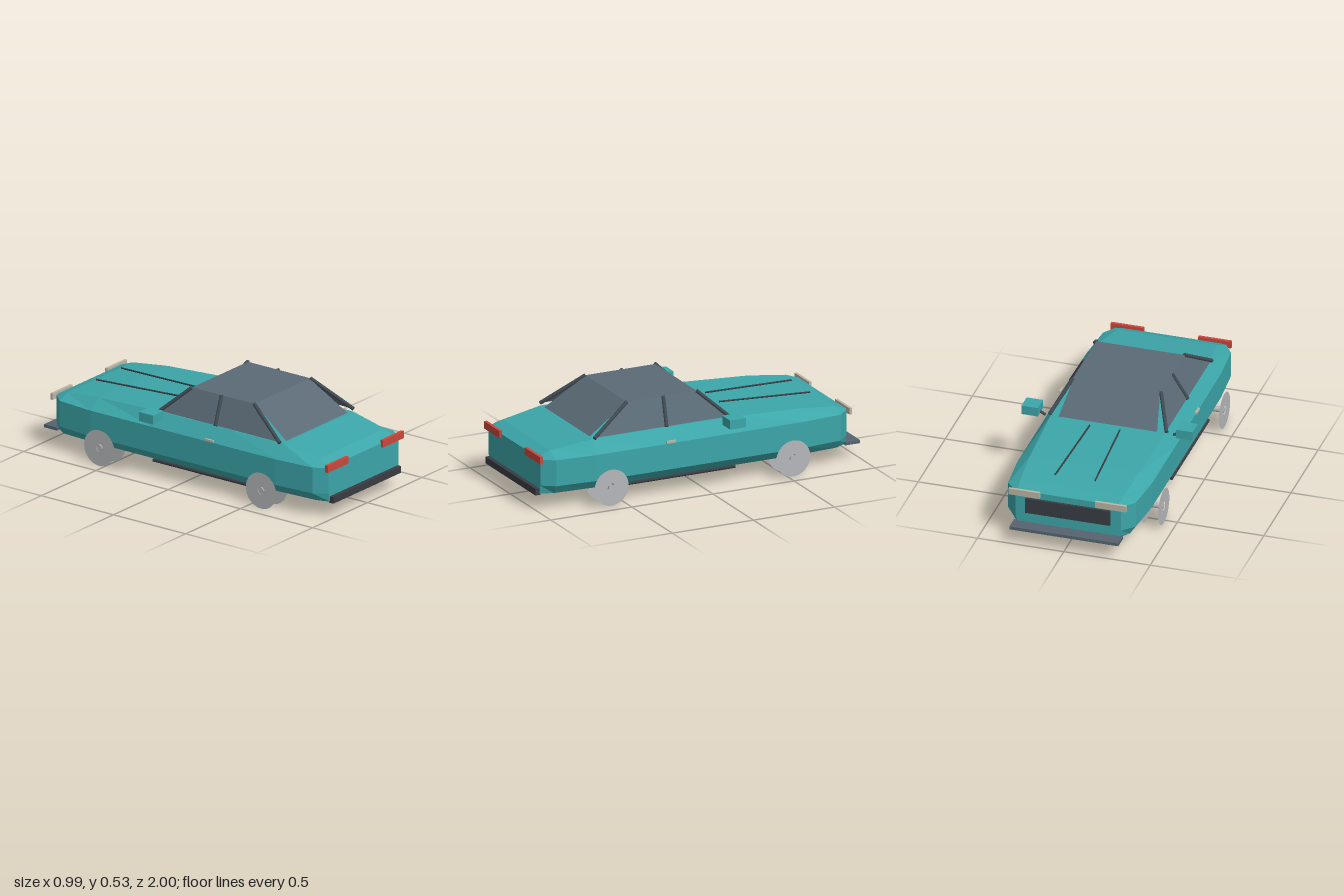
import * as THREE from 'three';

const mat = (name, color, extra = {}) => {
  const m = new THREE.MeshStandardMaterial({ color, ...extra });
  m.name = name;
  return m;
};

export function createModel() {
  const car = new THREE.Group();
  car.name = 'car';
  const teal = mat('teal paint', 0x3ca6a9, { flatShading: true });
  const glass = mat('slate glass', 0x5a6a75, { side: THREE.DoubleSide });
  const slate = mat('slate trim', 0x566470);
  const pillarDark = mat('dark slate', 0x414a52);
  const dark = mat('charcoal', 0x393c42);
  const red = mat('red lamp', 0xcc473c);
  const cream = mat('cream lamp', 0xbdb6a6);
  const silver = mat('silver', 0xb6b8bb, { side: THREE.DoubleSide });

  const add = (name, geometry, material) => {
    const m = new THREE.Mesh(geometry, material);
    m.name = name;
    car.add(m);
    return m;
  };
  // Box given by its limits on each axis
  const box = (name, material, x0, x1, y0, y1, z0, z1) => {
    const m = add(name, new THREE.BoxGeometry(Math.abs(x1 - x0), y1 - y0, z1 - z0), material);
    m.position.set((x0 + x1) / 2, (y0 + y1) / 2, (z0 + z1) / 2);
  };
  // Straight round bar between two points
  const rod = (name, material, a, b, r, sides = 8) => {
    const p = new THREE.Vector3(...a), q = new THREE.Vector3(...b);
    const d = q.clone().sub(p);
    const m = add(name, new THREE.CylinderGeometry(r, r, d.length(), sides), material);
    m.position.copy(p).add(q).multiplyScalar(0.5);
    m.quaternion.setFromUnitVectors(new THREE.Vector3(0, 1, 0), d.normalize());
  };
  const panel = (name, material, corners) => {
    const g = new THREE.BufferGeometry();
    g.setAttribute('position', new THREE.Float32BufferAttribute(corners.flat(), 3));
    g.setIndex([0, 1, 2, 0, 2, 3]);
    g.computeVertexNormals();
    add(name, g, material);
  };

  // Body: cross-sections [z, bottom half width, side half width, top half width, top height]
  const sections = [
    [-0.92, 0.29, 0.305, 0.29, 0.298],
    [-0.85, 0.335, 0.37, 0.30, 0.322],
    [-0.62, 0.35, 0.39, 0.315, 0.348],
    [-0.2, 0.35, 0.39, 0.33, 0.368],
    [0.3, 0.35, 0.39, 0.33, 0.37],
    [0.66, 0.35, 0.388, 0.32, 0.365],
    [0.9, 0.335, 0.37, 0.29, 0.328],
    [0.975, 0.31, 0.32, 0.28, 0.297],
  ];
  const pos = [], idx = [], n = 8, last = (sections.length - 1) * n;
  for (const [z, wb, w, wt, yt] of sections) {
    const half = [[wb, 0.092], [w, 0.142], [w, 0.293], [wt, yt]];
    pos.push(-wb, 0.092, z);
    for (const [x, y] of half) pos.push(x, y, z);
    for (const [x, y] of half.slice(1).reverse()) pos.push(-x, y, z);
  }
  for (let i = 0; i < last; i += n) {
    for (let j = 0; j < n; j++) {
      const a = i + j, b = i + (j + 1) % n;
      idx.push(a, b, b + n, a, b + n, a + n);
    }
  }
  for (let j = 1; j < n - 1; j++) idx.push(0, j + 1, j, last, last + j, last + j + 1);
  const bodyGeo = new THREE.BufferGeometry();
  bodyGeo.setAttribute('position', new THREE.Float32BufferAttribute(pos, 3));
  bodyGeo.setIndex(idx);
  const flatBody = bodyGeo.toNonIndexed();
  flatBody.computeVertexNormals();
  add('body', flatBody, teal);

  // Roof and end windows
  const yr = 0.525, yb = 0.367;
  panel('roof', glass, [[-0.255, yr, 0.41], [0.255, yr, 0.41], [0.255, yr, -0.02], [-0.255, yr, -0.02]]);
  panel('tailgateWindow', glass, [[-0.28, yb, 0.65], [0.28, yb, 0.65], [0.25, yr, 0.41], [-0.25, yr, 0.41]]);
  panel('windscreen', glass, [[0.285, yb, -0.19], [-0.285, yb, -0.19], [-0.25, yr, -0.02], [0.25, yr, -0.02]]);

  // Bumpers and grille
  box('lampEndBumper', dark, -0.31, 0.31, 0.085, 0.123, 0.97, 1);
  box('bonnetEndBumper', slate, -0.315, 0.315, 0.088, 0.106, -1, -0.91);
  box('grille', dark, -0.245, 0.245, 0.17, 0.26, -0.935, -0.91);

  for (const s of [1, -1]) {
    // Side windows and pillars
    const side = [[s * 0.255, yr, 0.41], [s * 0.255, yr, -0.02], [s * 0.335, 0.375, -0.17], [s * 0.335, 0.375, 0.64]];
    panel('sideWindow', glass, s > 0 ? side.reverse() : side);
    for (const [z0, z1] of [[0.65, 0.41], [0.205, 0.185], [-0.185, -0.02]]) {
      rod('pillar', pillarDark, [s * 0.338, 0.373, z0], [s * 0.255, yr, z1], 0.011);
    }

    // Lamps
    box('redLamp', red, s * 0.157, s * 0.348, 0.275, 0.317, 0.972, 0.99);
    box('creamLamp', cream, s * 0.16, s * 0.34, 0.273, 0.31, -0.938, -0.922);

    // Mirror on its arm
    box('mirror', teal, s * 0.4, s * 0.495, 0.357, 0.41, -0.205, -0.108);
    rod('mirrorArm', pillarDark, [s * 0.37, 0.347, -0.155], [s * 0.415, 0.37, -0.155], 0.008);

    // Handle, sill bar and bonnet line
    box('doorHandle', cream, s * 0.388, s * 0.4, 0.298, 0.31, 0.177, 0.233);
    rod('sillBar', dark, [s * 0.37, 0.092, -0.2], [s * 0.37, 0.092, 0.48], 0.01);
    rod('bonnetLine', dark, [s * 0.087, 0.376, -0.245], [s * 0.115, 0.357, -0.79], 0.005);

    // Wheels: two thin discs around a hub
    for (const z of [0.59, -0.53]) {
      for (const x of [0.33, 0.43]) {
        const disc = add('wheelDisc', new THREE.RingGeometry(0.024, 0.105, 32), silver);
        disc.rotation.y = s * Math.PI / 2;
        disc.position.set(s * x, 0.105, z);
      }
      rod('hub', silver, [s * 0.33, 0.107, z], [s * 0.43, 0.107, z], 0.017, 10);
    }
  }
  return car;
}
